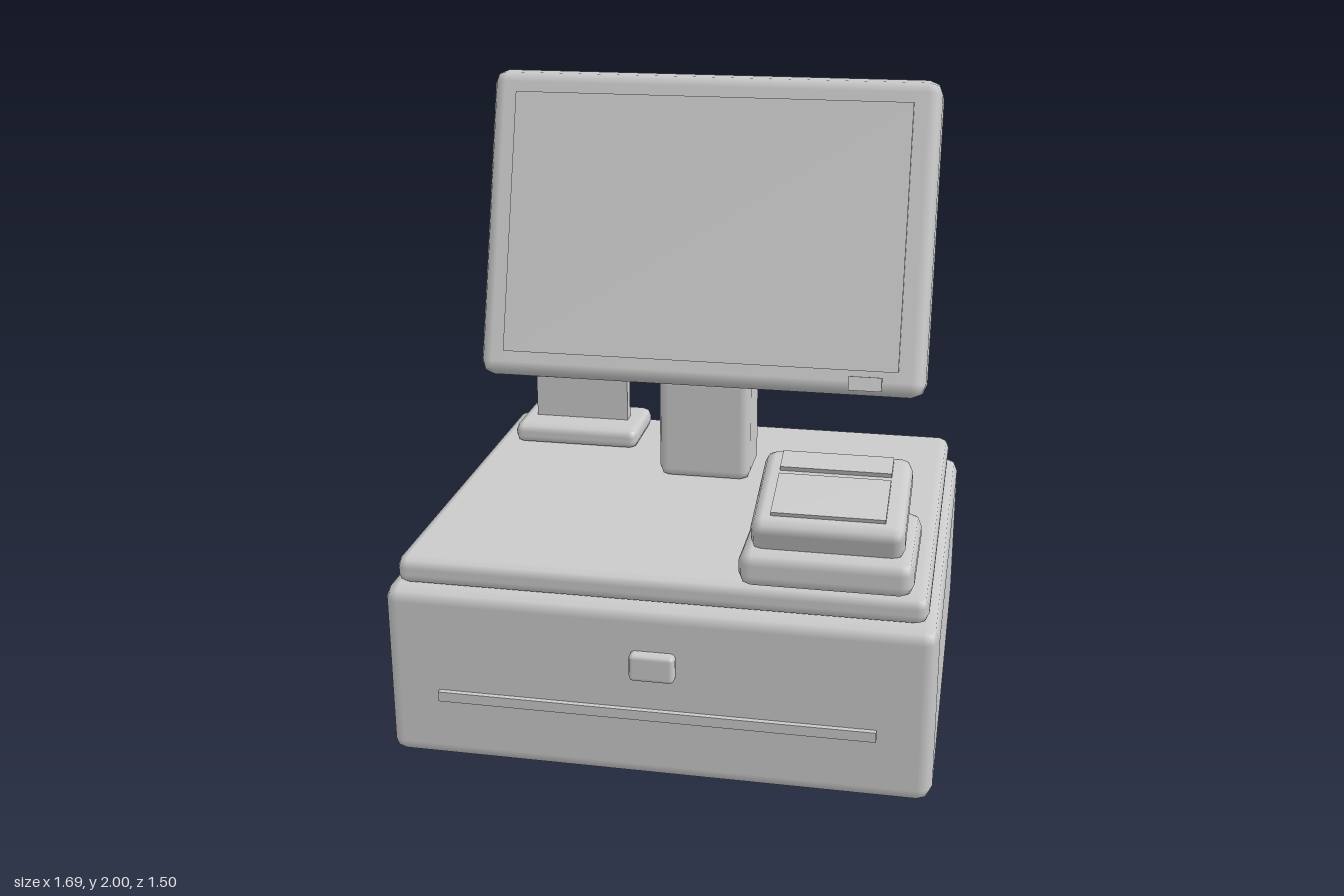
import * as THREE from 'three';
import { RoundedBoxGeometry } from 'three/addons/geometries/RoundedBoxGeometry.js';

const material = new THREE.MeshStandardMaterial({ color: 0xcccccc });

// Box given by its size and centre; a radius above zero bevels the edges
function addBox(parent, name, [w, h, d], [x, y, z], radius = 0) {
  const geometry = radius > 0
    ? new RoundedBoxGeometry(w, h, d, 1, radius)
    : new THREE.BoxGeometry(w, h, d);
  const mesh = new THREE.Mesh(geometry, material);
  mesh.name = name;
  mesh.position.set(x, y, z);
  parent.add(mesh);
  return mesh;
}

function addTilted(parent, name, [x, y, z], angle) {
  const group = new THREE.Group();
  group.name = name;
  group.position.set(x, y, z);
  group.rotation.x = angle;
  parent.add(group);
  return group;
}

export function createModel() {
  const model = new THREE.Group();
  model.name = 'cashRegister';

  // Cash drawer with its top plate
  addBox(model, 'drawerBody', [1.69, 0.57, 1.465], [0, 0.285, -0.0125], 0.045);
  addBox(model, 'topPlate', [1.62, 0.09, 1.4], [0, 0.612, -0.015], 0.035);
  addBox(model, 'drawerLock', [0.14, 0.09, 0.06], [0, 0.387, 0.722], 0.015);
  addBox(model, 'drawerSlot', [1.35, 0.032, 0.03], [0, 0.223, 0.722]);

  // Neck and tilted monitor
  addBox(model, 'monitorNeck', [0.314, 0.37, 0.222], [0, 0.835, -0.239], 0.035);
  const monitor = addTilted(model, 'monitor', [0, 1.4925, -0.24], -0.3);
  addBox(monitor, 'monitorCase', [1.485, 1.02, 0.21], [0, 0, 0], 0.045);
  addBox(monitor, 'screen', [1.31, 0.86, 0.03], [0, 0, 0.105]);
  addBox(monitor, 'powerButton', [0.106, 0.045, 0.025], [0.552, -0.471, 0.125]);

  // Card terminal at the front
  addBox(model, 'terminalBase', [0.515, 0.115, 0.425], [0.506, 0.713, 0.493], 0.04);
  const terminal = addTilted(model, 'terminal', [0.506, 0.855, 0.495], 0.3);
  addBox(terminal, 'terminalCase', [0.45, 0.117, 0.375], [0, 0, 0], 0.035);
  addBox(terminal, 'terminalKeypad', [0.335, 0.02, 0.185], [0, 0.061, 0.047]);
  addBox(terminal, 'terminalDisplay', [0.335, 0.02, 0.08], [0, 0.063, -0.113]);

  // Small stand with an upright panel at the back
  addBox(model, 'standBase', [0.45, 0.075, 0.285], [-0.51, 0.69, -0.4975], 0.03);
  addBox(model, 'standPanel', [0.337, 0.23, 0.045], [-0.51, 0.815, -0.489]);

  return model;
}
